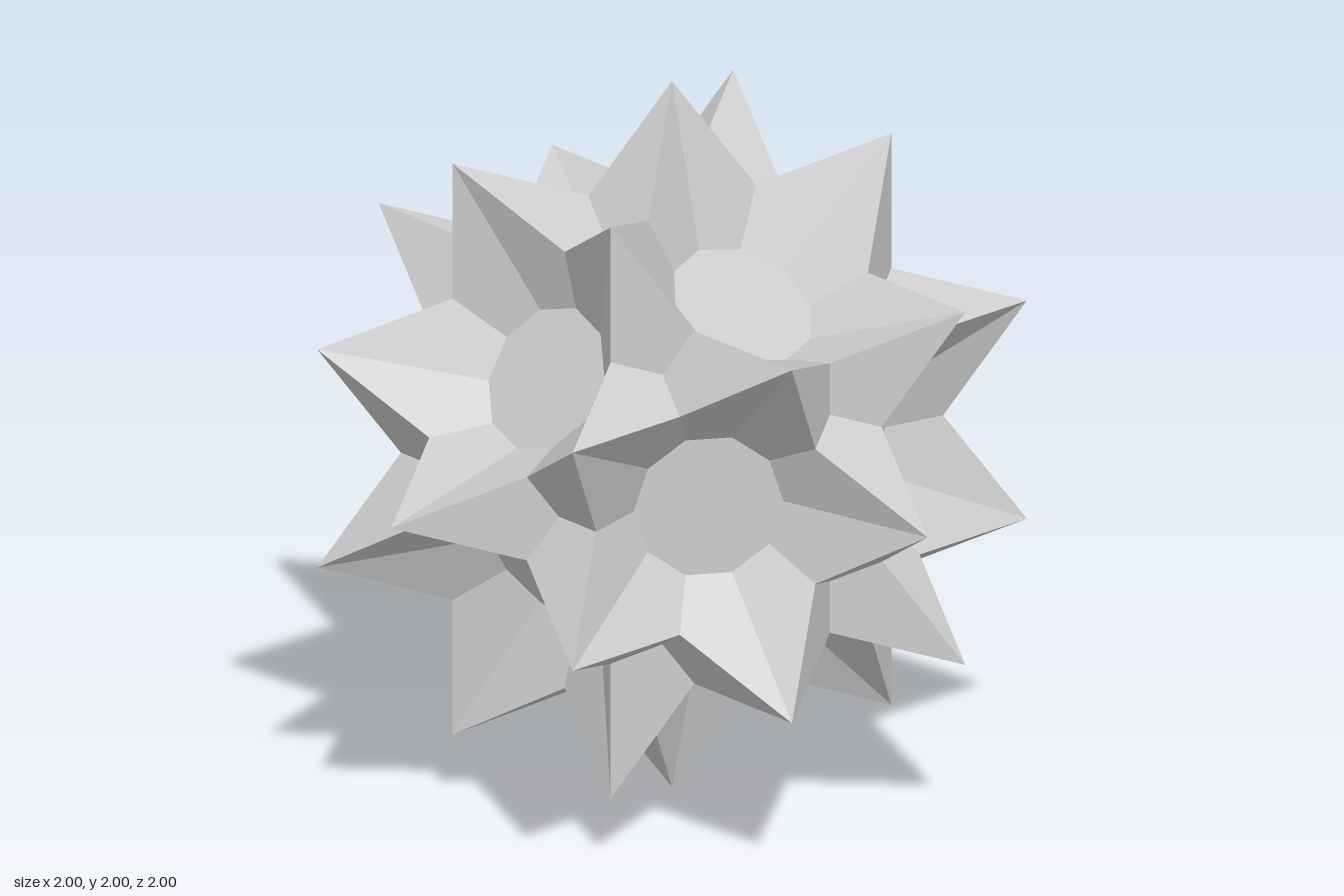
import * as THREE from 'three';

// Radii and heights measured from a five-fold axis (local +y), tips at distance 1
const SHORT = 0.5257, LONG = 0.8507;
const DENT = { r: 0.3249, h: 0.6498 };   // notch between two neighbouring tips
const FLOOR_R = 0.2008;                  // corner radius of the ten-sided pit floor

const at = (r, h, deg, side = 0) => {
  const a = THREE.MathUtils.degToRad(deg);
  return new THREE.Vector3(r * Math.cos(a) - side * Math.sin(a), h, r * Math.sin(a) + side * Math.cos(a));
};

// Flat-faced geometry from convex polygons
function fromPolygons(polygons) {
  const points = [];
  for (const p of polygons)
    for (let i = 1; i < p.length - 1; i++) points.push(p[0], p[i], p[i + 1]);
  const geometry = new THREE.BufferGeometry().setFromPoints(points);
  geometry.computeVertexNormals();
  return geometry;
}

// Star-shaped pit: five tips and five dents sloping down to a decagonal floor
function pitGeometry() {
  const rim = i => i % 2 ? at(DENT.r, DENT.h, i * 36) : at(SHORT, LONG, i * 36);
  const floor = i => at(FLOOR_R, SHORT, i * 36);
  const polygons = [];
  for (let i = 0; i < 10; i++) polygons.push([rim(i), floor(i), floor(i + 1), rim(i + 1)]);
  polygons.push(Array.from({ length: 10 }, (_, i) => floor(-i)));
  return fromPolygons(polygons);
}

// Five kite facets lying in the plane of the pit floor, one on each outlying spike
function kiteGeometry() {
  const polygons = [];
  for (let i = 0; i < 5; i++) {
    const a = 36 + i * 72;
    polygons.push([at(LONG, SHORT, a), at(0.4874, SHORT, a, -0.1180), at(0.4016, SHORT, a), at(0.4874, SHORT, a, 0.1180)]);
  }
  return fromPolygons(polygons);
}

export function createModel() {
  const model = new THREE.Group();
  model.name = 'starPolyhedron';
  const material = new THREE.MeshStandardMaterial({ color: 0xcccccc, flatShading: true });
  const pit = pitGeometry(), kites = kiteGeometry();

  // Repeat the sector about all twelve five-fold axes
  for (let k = 0; k < 3; k++)
    for (const s of [-1, 1])
      for (const t of [-1, 1]) {
        const axis = new THREE.Vector3().setComponent((k + 2) % 3, s * SHORT).setComponent(k, t * LONG).normalize();
        const toTip = new THREE.Vector3().setComponent(k, t).projectOnPlane(axis).normalize();
        const third = new THREE.Vector3().crossVectors(toTip, axis);
        const sector = new THREE.Group();
        sector.name = 'starSector';
        sector.quaternion.setFromRotationMatrix(new THREE.Matrix4().makeBasis(toTip, axis, third));
        sector.position.y = 1;
        for (const [name, geometry] of [['starPit', pit], ['spikeKites', kites]]) {
          const mesh = new THREE.Mesh(geometry, material);
          mesh.name = name;
          sector.add(mesh);
        }
        model.add(sector);
      }
  return model;
}
